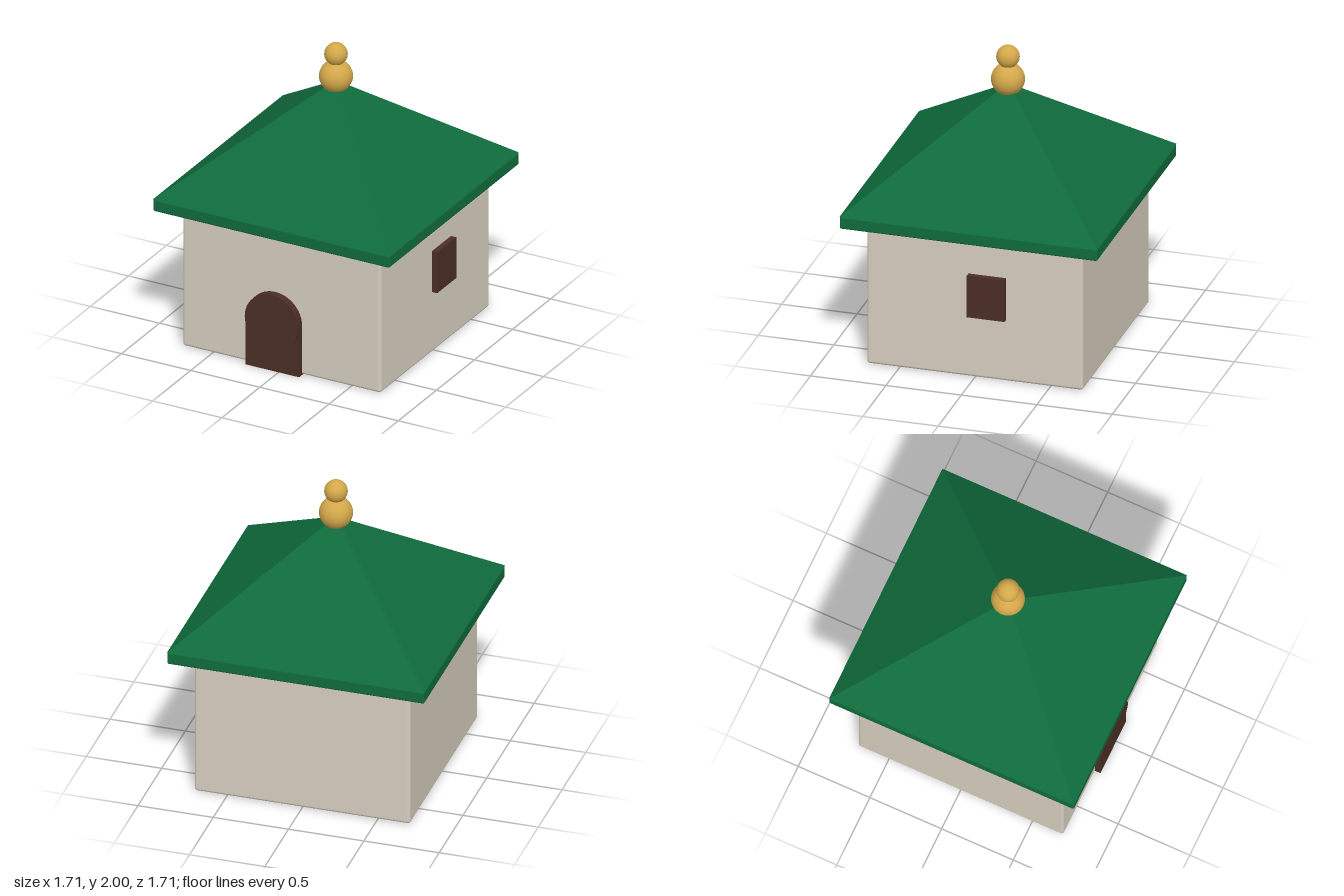
import * as THREE from 'three';
import { RoundedBoxGeometry } from 'three/addons/geometries/RoundedBoxGeometry.js';

export function createModel() {
  const model = new THREE.Group();
  model.name = 'hut';

  const material = (name, color) => {
    const m = new THREE.MeshStandardMaterial({ color });
    m.name = name;
    return m;
  };
  const plaster = material('plaster', 0xd6cdbe);
  const roofGreen = material('roofGreen', 0x0f6b3c);
  const darkWood = material('darkWood', 0x4a2e24);
  const gold = material('gold', 0xd4a84b);

  const add = (name, geometry, mat, x, y, z) => {
    const mesh = new THREE.Mesh(geometry, mat);
    mesh.name = name;
    mesh.position.set(x, y, z);
    model.add(mesh);
    return mesh;
  };

  // Walls, with softly rounded edges
  add('walls', new RoundedBoxGeometry(1.432, 0.97, 1.432, 3, 0.02), plaster, 0, 0.49, 0);

  // Eave slab and four-sided roof with crisp hips
  add('eave', new RoundedBoxGeometry(1.708, 0.085, 1.708, 3, 0.012), roofGreen, 0, 1.022, 0);
  const roofHeight = 0.675;
  const pyramid = new THREE.ConeGeometry(0.853 * Math.SQRT2, roofHeight, 4)
    .rotateY(Math.PI / 4)
    .toNonIndexed();
  pyramid.computeVertexNormals();
  add('roof', pyramid, roofGreen, 0, 1.064 + roofHeight / 2, 0);

  // Two stacked balls on the peak
  add('finialLowerBall', new THREE.SphereGeometry(0.108, 32, 20), gold, 0, 1.77, 0);
  add('finialUpperBall', new THREE.SphereGeometry(0.075, 32, 20), gold, 0, 1.925, 0);

  // Door: a panel with a slightly prouder disc for its arched top
  const doorX = -0.044, doorRadius = 0.193, archY = 0.35;
  add('doorPanel', new THREE.BoxGeometry(doorRadius * 2, archY, 0.055), darkWood,
    doorX, archY / 2 + 0.003, 0.7275);
  const disc = new THREE.CylinderGeometry(doorRadius, doorRadius, 0.065, 48).rotateX(Math.PI / 2);
  add('doorArch', disc, darkWood, doorX, archY, 0.7355);

  // Window on the left wall
  add('window', new THREE.BoxGeometry(0.06, 0.288, 0.25), darkWood, 0.724, 0.576, -0.084);

  return model;
}
